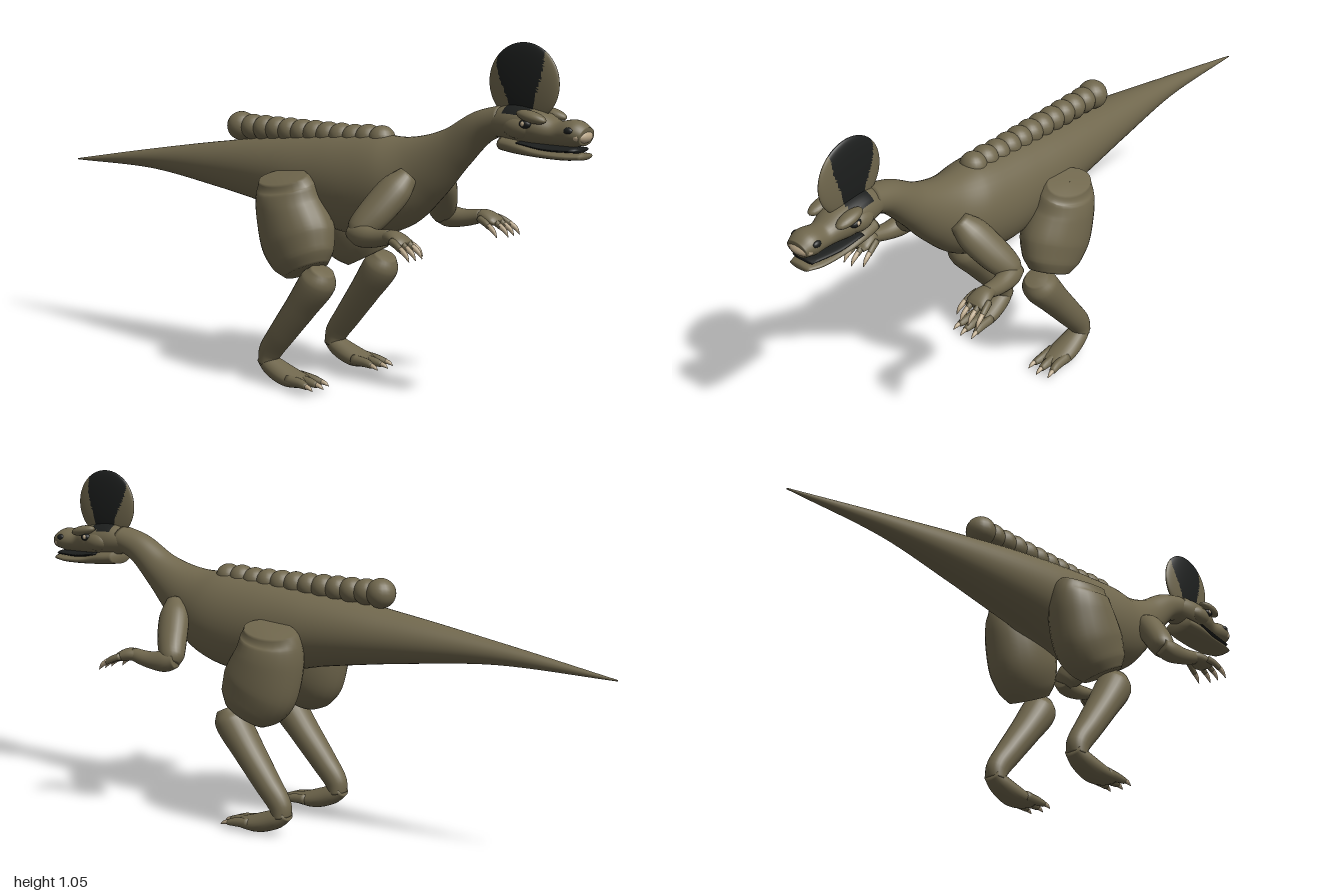
import * as THREE from 'three';

const mat = (name, color, side) => {
  const m = new THREE.MeshStandardMaterial({ color });
  m.name = name;
  return m;
};

// Smooth skin through oval sections [x, y, z, height radius, side radius].
function loft(sections, steps = 6, sides = 24) {
  const centres = new THREE.CatmullRomCurve3(sections.map(s => new THREE.Vector3(s[0], s[1], s[2])));
  const radii = new THREE.CatmullRomCurve3(sections.map(s => new THREE.Vector3(s[3], s[4], 0)), false, 'catmullrom');
  const n = (sections.length - 1) * steps;
  const pos = [], index = [];
  const ring = (t, scale) => {
    const c = centres.getPoint(t), r = radii.getPoint(t), dir = centres.getTangent(t);
    const side = new THREE.Vector3(0, 0, 1).addScaledVector(dir, -dir.z).normalize();
    const up = new THREE.Vector3().crossVectors(side, dir);
    for (let j = 0; j < sides; j++) {
      const q = j / sides * Math.PI * 2;
      const p = c.clone()
        .addScaledVector(up, Math.max(r.x, 0.001) * scale * Math.cos(q))
        .addScaledVector(side, Math.max(r.y, 0.001) * scale * Math.sin(q));
      pos.push(p.x, p.y, p.z);
    }
  };
  ring(0, 0.01);
  for (let i = 0; i <= n; i++) ring(i / n, 1);
  ring(1, 0.01);
  for (let i = 0; i < n + 2; i++) for (let j = 0; j < sides; j++) {
    const k = (j + 1) % sides, a = i * sides + j, b = i * sides + k;
    index.push(a, b, a + sides, b, b + sides, a + sides);
  }
  const g = new THREE.BufferGeometry();
  g.setAttribute('position', new THREE.Float32BufferAttribute(pos, 3));
  g.setIndex(index);
  g.computeVertexNormals();
  return g;
}

// Sort faces into two colour groups by the position of their centre.
function paint(g, test) {
  const plain = [], marked = [], p = g.attributes.position, ix = g.index.array;
  for (let i = 0; i < ix.length; i += 3) {
    const f = [ix[i], ix[i + 1], ix[i + 2]];
    const mid = get => (get(f[0]) + get(f[1]) + get(f[2])) / 3;
    (test(mid(v => p.getX(v)), mid(v => p.getY(v))) ? marked : plain).push(...f);
  }
  g.setIndex([...plain, ...marked]);
  g.addGroup(0, plain.length, 0);
  g.addGroup(plain.length, marked.length, 1);
  return g;
}

const ball = (x, y, z, rx, ry, rz, w = 20, h = 14) =>
  new THREE.SphereGeometry(1, w, h).scale(rx, ry, rz).translate(x, y, z);

export function createModel() {
  const root = new THREE.Group();
  root.name = 'crestedDinosaur';
  const skin = mat('olive skin', 0x70674d);
  const black = mat('black marking', 0x1c1e1d);
  const tan = mat('tan claw', 0xb8a587);
  const add = (parent, name, geometry, material = skin) => {
    const m = new THREE.Mesh(geometry, material);
    m.name = name;
    parent.add(m);
    return m;
  };
  const group = name => {
    const g = new THREE.Group();
    g.name = name;
    root.add(g);
    return g;
  };

  // Tail, trunk and neck in one skin
  add(root, 'body', loft([
    [-1, 0.572, 0, 0.002, 0.002], [-0.63, 0.607, 0, 0.033, 0.035],
    [-0.3, 0.617, 0, 0.077, 0.08], [-0.05, 0.617, 0, 0.113, 0.11],
    [0.12, 0.61, 0, 0.14, 0.12], [0.25, 0.61, 0, 0.15, 0.122],
    [0.36, 0.632, 0, 0.138, 0.112], [0.46, 0.677, 0, 0.1, 0.08],
    [0.56, 0.742, 0, 0.064, 0.057], [0.65, 0.81, 0, 0.048, 0.047],
    [0.73, 0.84, 0, 0.04, 0.045],
  ], 8, 40));

  // Row of rounded humps along the back
  const ridge = group('backRidge');
  for (let i = 0; i < 12; i++) {
    const x = -0.247 + i * 0.05, r = i === 0 ? 0.045 : 0.04;
    add(ridge, 'backHump', ball(x, 0.745 + (i > 9 ? 0.004 : 0), 0, r, r, r + 0.001));
  }

  // Head
  const head = group('head');
  add(head, 'skull', paint(loft([
    [0.69, 0.828, 0, 0.035, 0.04], [0.76, 0.832, 0, 0.052, 0.056],
    [0.84, 0.826, 0, 0.047, 0.06], [0.9, 0.815, 0, 0.034, 0.042],
    [0.955, 0.818, 0, 0.037, 0.046], [0.987, 0.812, 0, 0.025, 0.036],
  ], 10, 32), (x, y) => x > 0.745 && x < 0.825 && y > 0.862), [skin, black]);
  add(head, 'lowerJaw', loft([
    [0.735, 0.778, 0, 0.024, 0.05], [0.79, 0.772, 0, 0.024, 0.057],
    [0.86, 0.76, 0, 0.015, 0.053], [0.94, 0.757, 0, 0.012, 0.048],
    [0.985, 0.759, 0, 0.009, 0.034],
  ]));
  add(head, 'mouth', loft([
    [0.8, 0.785, 0, 0.006, 0.057], [0.88, 0.775, 0, 0.009, 0.052],
    [0.97, 0.775, 0, 0.008, 0.038],
  ]), black);
  add(head, 'noseTip', ball(0.971, 0.812, 0, 0.025, 0.02, 0.042), tan);

  // Thin round crest with a dark band that narrows downward
  const crest = ball(0.787, 0.943, 0, 0.112, 0.11, 0.018, 72, 48);
  add(head, 'crest', paint(crest, (x, y) => {
    const k = THREE.MathUtils.smoothstep(y, 0.87, 1.0);
    return y > 0.872 && x > 0.748 - 0.046 * k && x < 0.826 + 0.028 * k;
  }), [skin, black]);

  for (const s of [1, -1]) {
    const label = s > 0 ? 'left' : 'right';
    add(head, label + 'Cheek', ball(0.8, 0.825, s * 0.04, 0.05, 0.03, 0.028));
    add(head, label + 'Brow', ball(0, 0, 0, 0.047, 0.016, 0.022)
      .rotateZ(-0.2).translate(0.845, 0.859, s * 0.052));
    add(head, label + 'Eye', ball(0.83, 0.839, s * 0.058, 0.018, 0.012, 0.012), black);
    add(head, label + 'EyeGlint', ball(0.828, 0.84, s * 0.066, 0.007, 0.007, 0.006), tan);
    add(head, label + 'Nostril', ball(0.953, 0.828, s * 0.04, 0.014, 0.01, 0.008), black);

    // Hind leg
    const leg = group(label + 'Leg');
    add(leg, 'thigh', loft([
      [0.05, 0.63, s * 0.15, 0.085, 0.05], [0.053, 0.6, s * 0.138, 0.1, 0.075],
      [0.062, 0.54, s * 0.13, 0.112, 0.092], [0.095, 0.45, s * 0.132, 0.125, 0.094],
      [0.125, 0.39, s * 0.142, 0.106, 0.076], [0.14, 0.36, s * 0.147, 0.075, 0.055],
    ]));
    add(leg, 'shin', loft([
      [0.205, 0.37, s * 0.15, 0.034, 0.035], [0.188, 0.335, s * 0.15, 0.054, 0.055],
      [0.125, 0.25, s * 0.153, 0.047, 0.051], [0.055, 0.16, s * 0.157, 0.041, 0.042],
      [0.007, 0.095, s * 0.158, 0.036, 0.034], [0, 0.06, s * 0.158, 0.028, 0.032],
    ]));
    add(leg, 'foot', loft([
      [-0.018, 0.075, s * 0.158, 0.022, 0.026], [0.02, 0.052, s * 0.158, 0.03, 0.036],
      [0.08, 0.031, s * 0.158, 0.029, 0.043], [0.135, 0.025, s * 0.158, 0.018, 0.04],
      [0.155, 0.024, s * 0.158, 0.01, 0.03],
    ]));
    for (const d of [-1, 0, 1]) {
      const z = s * (0.156 + d * 0.03), reach = d ? 0 : 0.01;
      add(leg, 'toe', loft([
        [0.1, 0.03, z, 0.016, 0.015], [0.15 + reach, 0.027, z, 0.014, 0.014],
        [0.178 + reach, 0.023, z + s * d * 0.005, 0.009, 0.01],
      ], 4, 12));
      add(leg, 'toeClaw', loft([
        [0.172 + reach, 0.025, z + s * d * 0.005, 0.008, 0.008],
        [0.19 + reach, 0.021, z + s * d * 0.007, 0.006, 0.006],
        [0.203 + reach, 0.014, z + s * d * 0.008, 0.001, 0.001],
      ], 4, 10), tan);
    }

    // Arm
    const arm = group(label + 'Arm');
    add(arm, 'upperArm', loft([
      [0.455, 0.665, s * 0.075, 0.03, 0.03], [0.435, 0.625, s * 0.11, 0.05, 0.042],
      [0.405, 0.565, s * 0.16, 0.05, 0.042], [0.38, 0.52, s * 0.196, 0.04, 0.037],
      [0.375, 0.5, s * 0.207, 0.025, 0.028],
    ]));
    add(arm, 'forearm', loft([
      [0.36, 0.512, s * 0.203, 0.025, 0.028], [0.395, 0.505, s * 0.21, 0.033, 0.031],
      [0.45, 0.505, s * 0.217, 0.026, 0.027], [0.51, 0.517, s * 0.222, 0.02, 0.022],
    ]));
    add(arm, 'hand', loft([
      [0.49, 0.515, s * 0.222, 0.017, 0.02], [0.52, 0.516, s * 0.224, 0.02, 0.029],
      [0.55, 0.507, s * 0.226, 0.016, 0.034], [0.565, 0.501, s * 0.226, 0.009, 0.028],
    ]));
    for (let i = 0; i < 4; i++) {
      const d = i - 1.5, z = s * (0.226 + d * 0.02), out = s * d * 0.005;
      const x = i === 0 ? -0.02 : 0;
      add(arm, 'finger', loft([
        [0.535 + x, 0.512, z, 0.011, 0.01], [0.56 + x, 0.503, z + out, 0.01, 0.009],
        [0.58 + x, 0.491, z + out * 1.5, 0.008, 0.008],
      ], 4, 12));
      add(arm, 'fingerClaw', loft([
        [0.574 + x, 0.496, z + out * 1.4, 0.009, 0.008],
        [0.595 + x, 0.482, z + out * 1.8, 0.007, 0.006],
        [0.607 + x, 0.465, z + out * 2, 0.001, 0.001],
      ], 4, 10), tan);
    }
  }
  return root;
}
